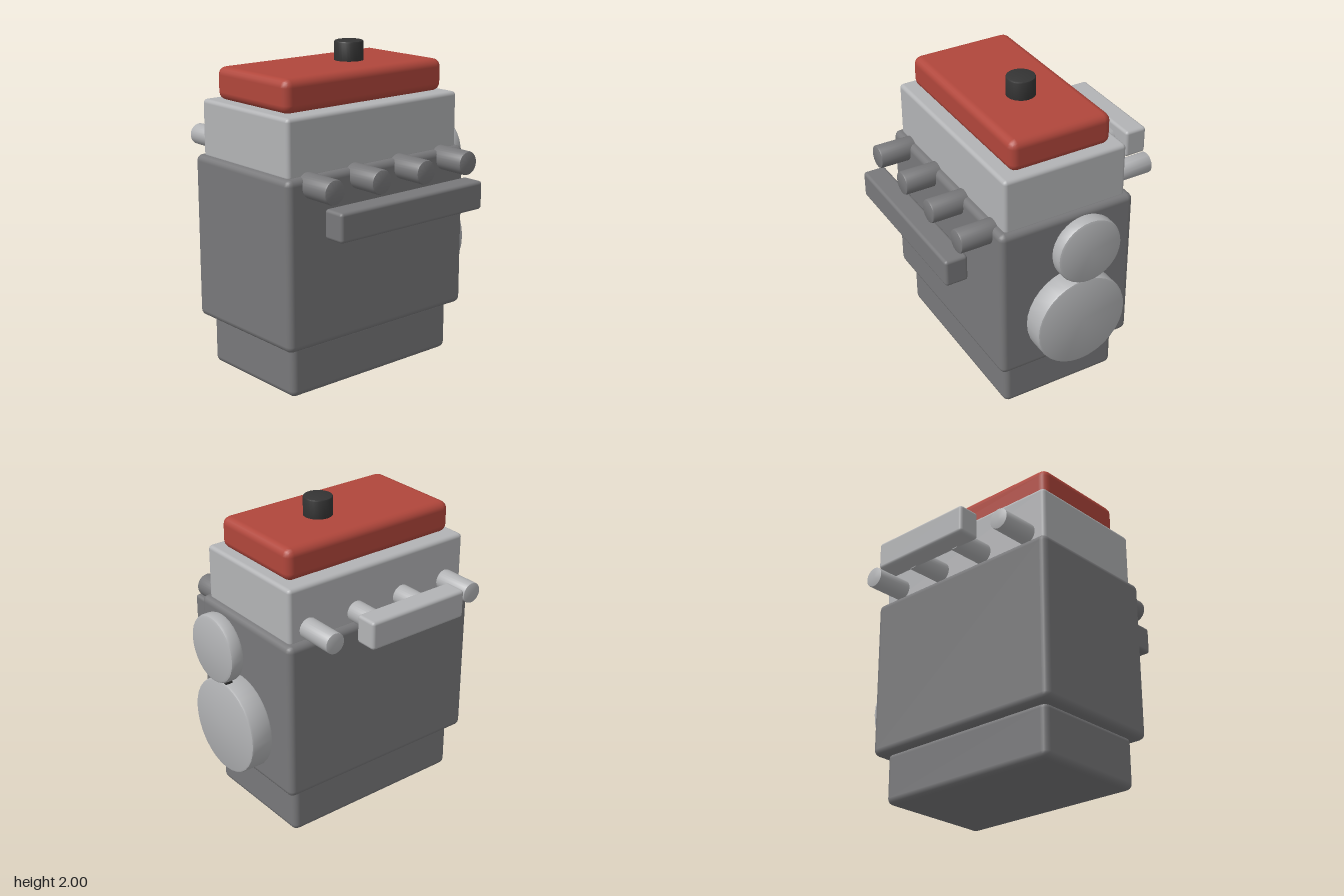
import * as THREE from 'three';
import { RoundedBoxGeometry } from 'three/addons/geometries/RoundedBoxGeometry.js';
import { toCreasedNormals } from 'three/addons/utils/BufferGeometryUtils.js';

const mat = (name, color) => new THREE.MeshStandardMaterial({ name, color });

export function createModel() {
  const iron = mat('dark iron', 0x78787a);
  const alloy = mat('light alloy', 0xb2b3b5);
  const red = mat('red paint', 0xb0463b);
  const black = mat('black rubber', 0x343434);

  const model = new THREE.Group();
  model.name = 'engine';

  function add(name, geometry, material, x, y, z) {
    const mesh = new THREE.Mesh(geometry, material);
    mesh.name = name;
    mesh.position.set(x, y, z);
    model.add(mesh);
    return mesh;
  }

  // Bevelled box given by its extents on each axis
  function box(name, material, [x0, x1], [y0, y1], [z0, z1], bevel) {
    const geometry = new RoundedBoxGeometry(x1 - x0, y1 - y0, z1 - z0, 2, bevel);
    return add(name, geometry, material, (x0 + x1) / 2, (y0 + y1) / 2, (z0 + z1) / 2);
  }

  // Cylinder along y with softened rims, centred on its origin
  function drum(radius, length, bevel) {
    const h = length / 2, b = bevel, k = bevel * 0.29;
    const profile = [
      [0, -h], [radius - b, -h], [radius - k, -h + k], [radius, -h + b],
      [radius, h - b], [radius - k, h - k], [radius - b, h], [0, h],
    ].map(([x, y]) => new THREE.Vector2(x, y));
    return toCreasedNormals(new THREE.LatheGeometry(profile, 32), 0.55);
  }

  // Main stack: pan, block, head, cover
  box('oilPan', iron, [-0.38, 0.41], [0, 0.33], [-0.515, 0.75], 0.04);
  box('engineBlock', iron, [-0.44, 0.47], [0.31, 1.34], [-0.585, 0.815], 0.04);
  box('cylinderHead', alloy, [-0.395, 0.425], [1.32, 1.68], [-0.55, 0.78], 0.025);
  box('valveCover', red, [-0.32, 0.35], [1.68, 1.88], [-0.5, 0.73], 0.05);
  add('oilCap', drum(0.09, 0.14, 0.01), black, 0.013, 1.93, -0.027);

  // Intake and exhaust runners, one pair per cylinder
  const intake = drum(0.065, 0.28, 0.004);
  const exhaust = drum(0.074, 0.27, 0.012);
  for (let i = 0; i < 4; i++) {
    const z = -0.412 + i * 0.351;
    add('intakeRunner', intake, alloy, -0.5, 1.408, z).rotation.z = Math.PI / 2;
    add('exhaustRunner', exhaust, iron, 0.533, 1.287, z).rotation.z = Math.PI / 2;
  }
  box('intakePlenum', alloy, [-0.76, -0.615], [1.35, 1.527], [-0.237, 0.458], 0.02);
  box('exhaustManifold', iron, [0.61, 0.757], [1.015, 1.19], [-0.447, 0.673], 0.02);

  // Pulleys and belt on the back
  add('crankPulley', drum(0.303, 0.148, 0.014), alloy, 0.013, 0.677, -0.679).rotation.x = Math.PI / 2;
  add('upperPulley', drum(0.212, 0.09, 0.02), alloy, 0.013, 1.227, -0.773).rotation.x = Math.PI / 2;
  box('belt', black, [-0.02, 0.046], [0.66, 1.287], [-0.745, -0.7], 0.004);

  return model;
}
